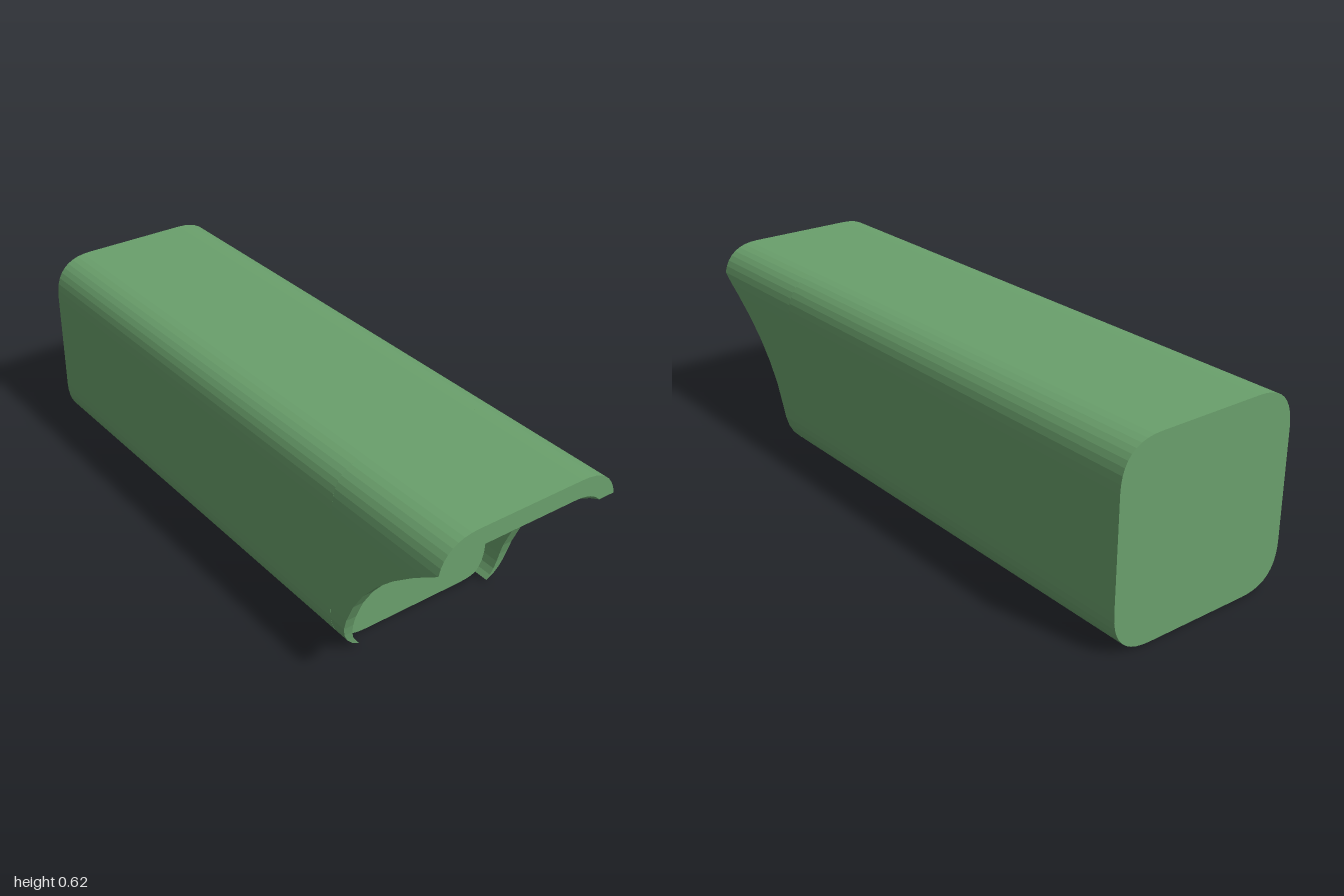
import * as THREE from 'three';

const BACK = -1, FRONT = 1, RECESS = 0.57;   // z of back end, front lip and recessed wall
const OUTER = { w: 0.315, y0: 0, y1: 0.617, r: 0.135 };
const INNER = { w: 0.28, y0: -0.015, y1: 0.56, r: 0.12 };

// Rounded rectangle with parabolic corners
function profile({ w, y0, y1, r }) {
  const s = new THREE.Shape();
  s.moveTo(w - r, y0);
  s.quadraticCurveTo(w, y0, w, y0 + r);
  s.lineTo(w, y1 - r);
  s.quadraticCurveTo(w, y1, w - r, y1);
  s.lineTo(-w + r, y1);
  s.quadraticCurveTo(-w, y1, -w, y1 - r);
  s.lineTo(-w, y0 + r);
  s.quadraticCurveTo(-w, y0, -w + r, y0);
  s.closePath();
  return s;
}

// Half width of the same rounded rectangle at height y
function halfWidth({ w, y0, y1, r }, y) {
  const d = Math.max(0, Math.min(y - y0, y1 - y, r));
  return w - (Math.sqrt(r) - Math.sqrt(d)) ** 2;
}

// Point on the upper corner, from height y (s = 0) to the flat top (s = 1)
function cornerPoint(p, y, s) {
  const h = p.y1 - (p.y1 - y) * (1 - s) ** 2;
  return [halfWidth(p, h), h];
}

// Thin hood in front of the recessed wall, its sides swept back in a curve
function hoodGeometry() {
  const half = [];
  for (const t of [0.02, 0.045, 0.08, 0.125, 0.18, 0.25, 0.375, 0.5, 0.625, 0.75, 0.875, 0.94, 1]) {
    const y = 0.593 * t - 0.068 * t * t;
    half.push({ o: [halfWidth(OUTER, y), y], i: [halfWidth(INNER, y), y], z: 0.62 + 0.38 * t * t });
  }
  for (let k = 1; k <= 8; k++) {
    half.push({ o: cornerPoint(OUTER, 0.525, k / 8), i: cornerPoint(INNER, 0.525, k / 8), z: FRONT });
  }
  const mirrored = half.map(({ o, i, z }) => ({ o: [-o[0], o[1]], i: [-i[0], i[1]], z })).reverse();

  // Each section runs outer back, outer front, inner front, inner back
  const rows = [...half, ...mirrored].map(({ o, i, z }) =>
    [[...o, RECESS], [...o, z], [...i, z], [...i, RECESS]]);
  const pos = [];
  for (let k = 0; k < rows.length - 1; k++) {
    for (let j = 0; j < 3; j++) {
      const a = rows[k][j], b = rows[k + 1][j], c = rows[k + 1][j + 1], d = rows[k][j + 1];
      pos.push(...a, ...b, ...d, ...b, ...c, ...d);
    }
  }
  const g = new THREE.BufferGeometry();
  g.setAttribute('position', new THREE.Float32BufferAttribute(pos, 3));
  g.computeVertexNormals();
  return g;
}

export function createModel() {
  const model = new THREE.Group();
  model.name = 'hoodedBar';
  const green = new THREE.MeshStandardMaterial({ color: 0x6aa06c, side: THREE.DoubleSide });

  // Solid bar up to the recessed wall
  const bodyGeometry = new THREE.ExtrudeGeometry(profile(OUTER), {
    depth: RECESS - BACK, bevelEnabled: false, curveSegments: 10,
  });
  bodyGeometry.translate(0, 0, BACK);
  const body = new THREE.Mesh(bodyGeometry, green);
  body.name = 'body';

  const hood = new THREE.Mesh(hoodGeometry(), green);
  hood.name = 'frontHood';

  model.add(body, hood);
  return model;
}
